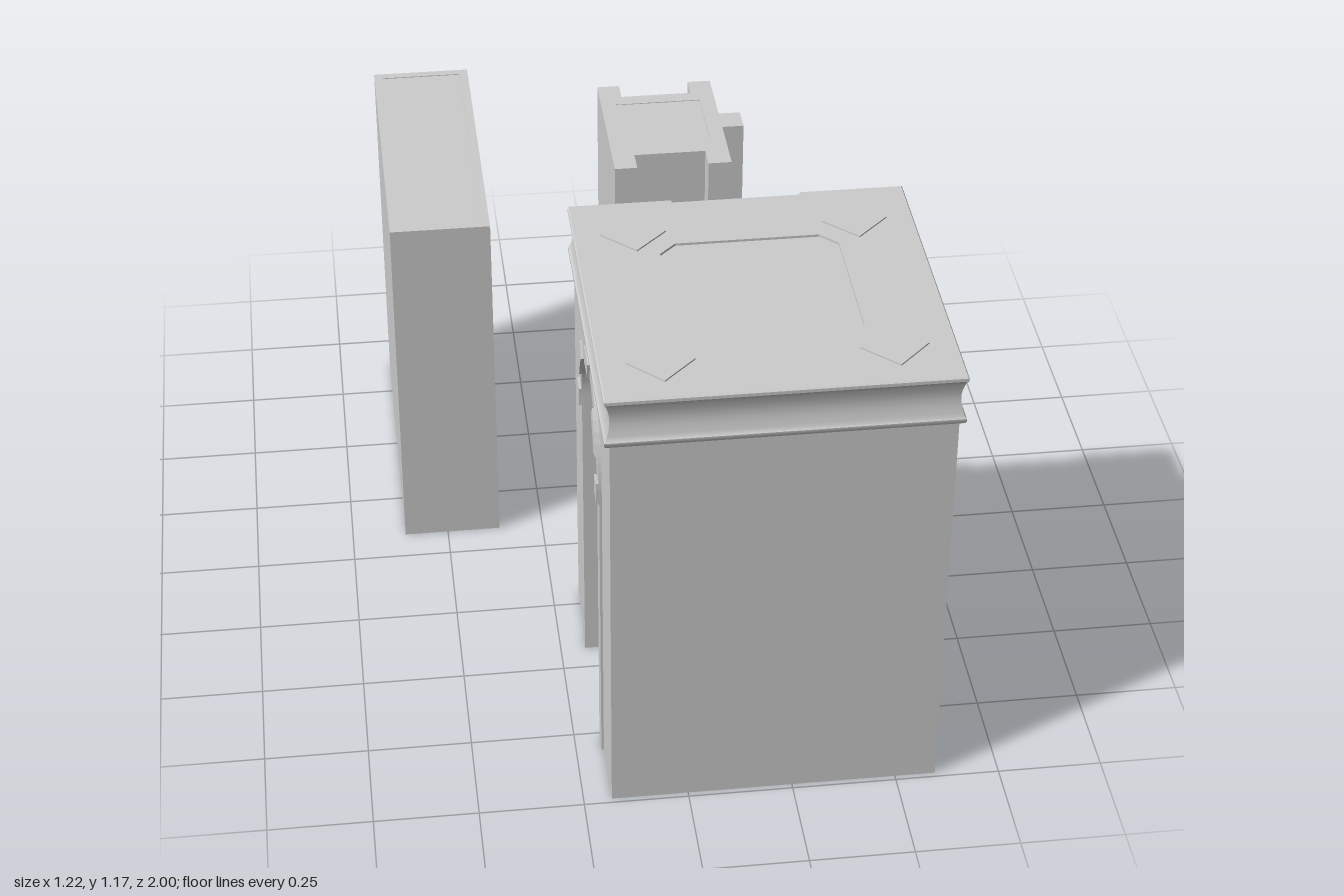
import * as THREE from 'three';
import { toCreasedNormals } from 'three/addons/utils/BufferGeometryUtils.js';

const material = new THREE.MeshStandardMaterial({ color: 0xcccccc, side: THREE.DoubleSide });

function add(parent, name, geometry, x = 0, y = 0, z = 0) {
  const mesh = new THREE.Mesh(geometry, material);
  mesh.name = name;
  mesh.position.set(x, y, z);
  parent.add(mesh);
  return mesh;
}

// Surface through rows of [x, y, z] points; faces rowDirection x columnDirection
function sheet(rows) {
  const pos = [];
  for (let i = 0; i + 1 < rows.length; i++) {
    for (let j = 0; j + 1 < rows[i].length; j++) {
      const a = rows[i][j], b = rows[i + 1][j], c = rows[i + 1][j + 1], d = rows[i][j + 1];
      pos.push(...a, ...b, ...d, ...b, ...c, ...d);
    }
  }
  const g = new THREE.BufferGeometry();
  g.setAttribute('position', new THREE.Float32BufferAttribute(pos, 3));
  g.computeVertexNormals();
  return toCreasedNormals(g, 0.6);
}

const shapeOf = (pts) => new THREE.Shape(pts.map(([u, v]) => new THREE.Vector2(u, v)));

// Horizontal face from [x, z] points, with an optional hole
function floorFace(pts, hole) {
  const flip = (list) => list.map(([x, z]) => [x, -z]);
  const shape = shapeOf(flip(pts));
  if (hole) shape.holes.push(shapeOf(flip(hole)));
  return new THREE.ShapeGeometry(shape).rotateX(-Math.PI / 2);
}

// Vertical walls along an [x, z] line
const walls = (pts, y0, y1) => sheet([y0, y1].map((y) => pts.map(([x, z]) => [x, y, z])));

const rect = (x0, x1, z0, z1) => [[x0, z0], [x1, z0], [x1, z1], [x0, z1]];

// Hollow block, open underneath, with a thin inset panel on top
function block(name, outline, height, [x0, x1, z0, z1]) {
  const g = new THREE.Group();
  g.name = name;
  add(g, 'walls', walls([...outline, outline[0]], 0, height));
  add(g, 'top', floorFace(outline, rect(x0, x1, z0, z1)));
  g.children[1].position.y = height;
  add(g, 'topPanel', floorFace(rect(x0, x1, z0, z1)), 0, height - 0.002);
  return g;
}

function gate() {
  const g = new THREE.Group();
  g.name = 'archGate';
  const H = 0.39, OUT = 0.403, TOP = 1.168, GAP = 0.155;
  const RX = 0.17, RY = 0.195, SPRING = 0.78, BAND = 0.045;

  // Point on the arch curve, grown outward by e
  const onArch = (deg, e = 0) => {
    const t = THREE.MathUtils.degToRad(deg);
    return [(RX + e) * Math.cos(t), SPRING + (RY + e) * Math.sin(t)];
  };
  const arch = [[RX, 0]];
  for (let i = 0; i <= 24; i++) arch.push(onArch(i * 7.5));
  arch.push([-RX, 0]);

  // Body and passage
  add(g, 'frontWall', walls([[H, H], [-H, H]], 0, TOP));
  add(g, 'backWall', walls([[-H, -H], [H, -H]], 0, TOP));
  add(g, 'passage', sheet([H, -H].map((x) => arch.map(([z, y]) => [x, y, z]))));

  // Arched end walls with raised jambs and alternating arch stones
  const stones = [[-8, 6, 0.013], [6, 22, 0.007], [22, 50, 0.013], [50, 79, 0.007], [79, 101, 0.013],
    [101, 130, 0.007], [130, 158, 0.013], [158, 174, 0.007], [174, 188, 0.013]];
  for (const side of [1, -1]) {
    const end = new THREE.Group();
    end.name = side > 0 ? 'leftEnd' : 'rightEnd';
    end.rotation.y = side * Math.PI / 2;
    g.add(end);
    add(end, 'endWall', new THREE.ShapeGeometry(shapeOf([...arch, [-H, 0], [-H, TOP], [H, TOP], [H, 0]])), 0, 0, H);
    for (const s of [1, -1]) {
      add(end, 'jamb', new THREE.BoxGeometry(BAND, SPRING, 0.006), s * (RX + BAND / 2), SPRING / 2, H + 0.003);
    }
    for (const [a, b, depth] of stones) {
      const inner = [], outer = [];
      for (let k = 0; k <= 4; k++) {
        const t = a + (b - a) * k / 4;
        // Below the spring line the stones follow the straight jamb
        const p = onArch(t), q = onArch(t, BAND);
        if (p[1] < SPRING) { p[0] = Math.sign(p[0]) * RX; q[0] = Math.sign(q[0]) * (RX + BAND); }
        inner.push(p);
        outer.push(q);
      }
      const stone = new THREE.ExtrudeGeometry(shapeOf([...outer, ...inner.reverse()]), { depth, bevelEnabled: false });
      add(end, 'archStone', stone, 0, 0, H);
    }
  }

  // Coved cornice, interrupted in the middle of the back
  const profile = [[0, 1.043], [0.01, 1.043], [0.013, 1.048], [0.013, 1.056], [0.009, 1.06]];
  for (let i = 1; i < 10; i++) {
    profile.push([0.009 - 0.013 * Math.sin(i * Math.PI / 10) * 0.7, 1.06 + 0.0093 * i]);
  }
  profile.push([0.009, 1.153], [0.013, 1.157], [0.013, 1.165], [0.01, TOP], [0, TOP]);
  const stations = [[-GAP, -H, 0, -1], [-H, -H, -1, -1], [-H, H, -1, 1], [H, H, 1, 1], [H, -H, 1, -1], [GAP, -H, 0, -1]];
  add(g, 'cornice', sheet(stations.map(([x, z, dx, dz]) => profile.map(([d, y]) => [x + dx * d, y, z + dz * d]))));
  for (const s of [1, -1]) {
    add(g, 'corniceEnd', new THREE.ShapeGeometry(shapeOf(profile)).rotateY(Math.PI / 2), s * GAP, 0, -H);
  }

  // Roof with a sunken eight-sided panel and four corner plates
  const L = 0.21, C = 0.17;
  const octagon = [[-C, -L], [C, -L], [L, -C], [L, C], [C, L], [-C, L], [-L, C], [-L, -C]];
  const E = OUT - 0.003;
  const roof = [[-E, -E], [-GAP, -E], [-GAP, -H], [GAP, -H], [GAP, -E], [E, -E], [E, E], [-E, E]];
  add(g, 'roof', floorFace(roof, octagon), 0, TOP);
  add(g, 'panelFloor', floorFace(octagon), 0, TOP - 0.006);
  add(g, 'panelRim', walls([...octagon, octagon[0]].reverse(), TOP - 0.006, TOP));
  for (const sx of [1, -1]) {
    for (const sz of [1, -1]) {
      const plate = add(g, 'cornerPlate', new THREE.BoxGeometry(0.11, 0.008, 0.11), sx * 0.262, TOP, sz * 0.264);
      plate.rotation.y = Math.PI / 4;
    }
  }
  g.position.set(0.207, 0, 0.597);
  return g;
}

export function createModel() {
  const model = new THREE.Group();
  model.name = 'gateAndBlocks';
  model.add(gate());
  model.add(block('plainBlock', rect(-0.612, -0.363, -0.88, -0.09), 0.945, [-0.59, -0.385, -0.858, -0.112]));
  // Buttressed tower: four corner piers on two sides and one side rib
  const tower = [[0, -1], [0.06, -1], [0.06, -0.94], [0.25, -0.94], [0.25, -1], [0.312, -1],
    [0.312, -0.82], [0.37, -0.82], [0.37, -0.748], [0.312, -0.748], [0.312, -0.565],
    [0.25, -0.565], [0.25, -0.63], [0.06, -0.63], [0.06, -0.565], [0, -0.565]];
  model.add(block('buttressedTower', tower, 0.797, [0.04, 0.27, -0.9, -0.67]));
  return model;
}
